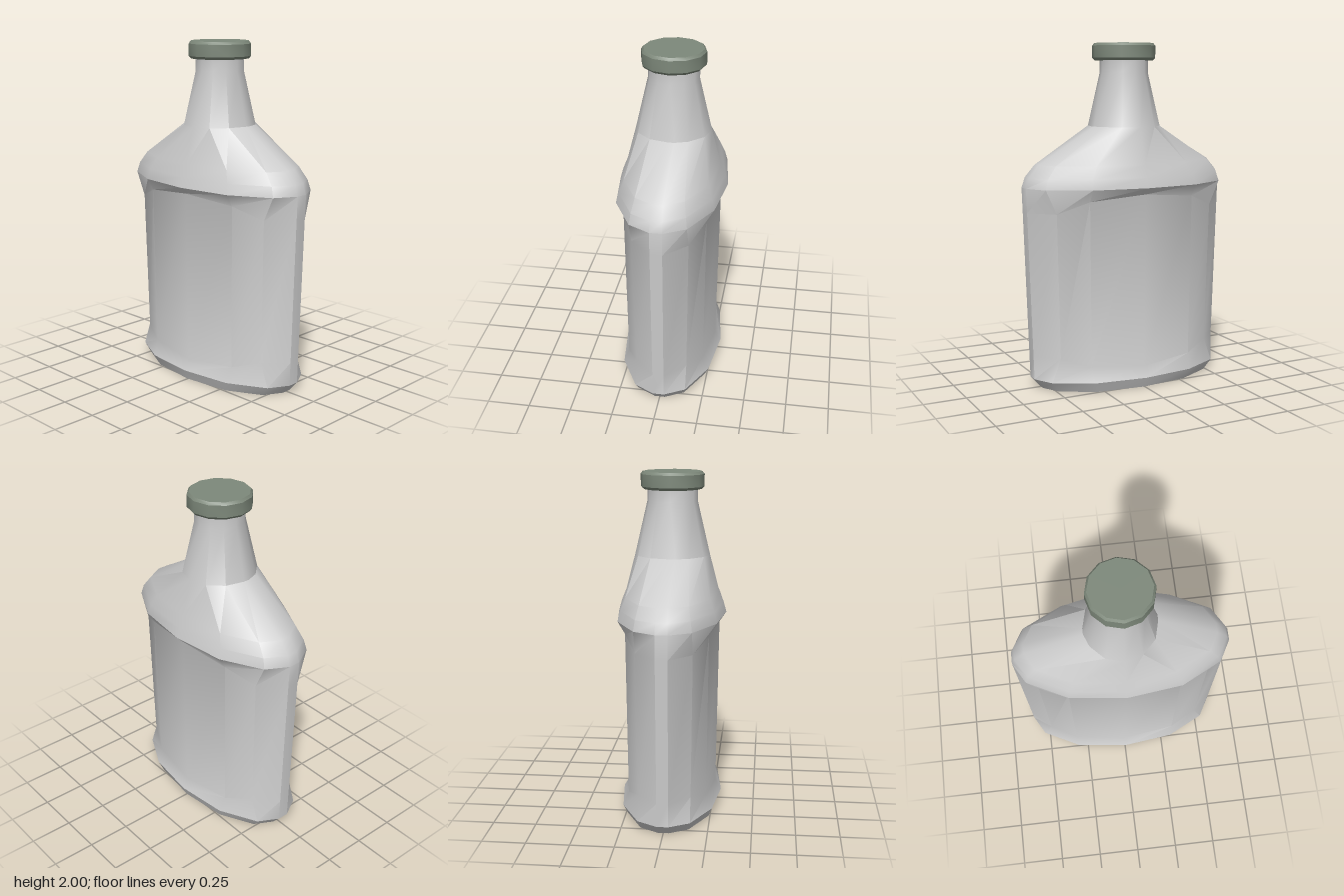
import * as THREE from 'three';
import { toCreasedNormals } from 'three/addons/utils/BufferGeometryUtils.js';

// Seven points make half a ring, from front centre round the +x side;
// the other half is the same turned by 180 degrees about y.
function ring(quarter, sideZ = [quarter[3][2], -quarter[3][2]]) {
  const [q0, q1, q2, q3] = quarter;
  const back = ([x, y, z]) => [x, y, -z];
  const half = [q0, q1, q2, [q3[0], q3[1], sideZ[0]], [q3[0], q3[1], sideZ[1]], back(q2), back(q1)];
  return half.concat(half.map(([x, y, z]) => [-x, y, -z]));
}

// Flattened body section of half width a and half depth b
const flat = (y, a, b) => ring([[0, 1], [0.52, 0.875], [0.89, 0.5], [1, 0.11]].map(([x, z]) => [x * a, y, z * b]));

// Twelve-sided neck section; seam is the width of the shoulder strip where it meets the neck
const round = (y, a, b, seam) => ring(
  [0, 30, 60, 90].map((d) => {
    const t = THREE.MathUtils.degToRad(d);
    return [Math.sin(t) * a, y, Math.cos(t) * b];
  }), [0, -seam]);

// Skin a stack of rings and close both ends
function loft(rings) {
  const n = rings[0].length;
  const points = rings.flat();
  const index = [];
  for (let r = 0; r < rings.length - 1; r++) {
    for (let i = 0; i < n; i++) {
      const a = r * n + i, b = r * n + (i + 1) % n;
      index.push(a, b, b + n, a, b + n, a + n);
    }
  }
  const last = (rings.length - 1) * n;
  for (let i = 1; i < n - 1; i++) {
    index.push(0, i + 1, i);
    index.push(last, last + i, last + i + 1);
  }
  const geometry = new THREE.BufferGeometry();
  geometry.setAttribute('position', new THREE.Float32BufferAttribute(points.flat(), 3));
  geometry.setIndex(index);
  return toCreasedNormals(geometry, THREE.MathUtils.degToRad(35));
}

export function createModel() {
  const group = new THREE.Group();

  // Bottle: bevelled foot, recessed panels, shoulder and tapered neck
  const bottle = new THREE.Mesh(
    loft([
      flat(0, 0.545, 0.275),
      flat(0.06, 0.597, 0.3),
      // recess edges curve towards the middle at the corners
      ring([[0, 0.12, 0.265], [0.32, 0.15, 0.228], [0.48, 0.2, 0.15], [0.602, 0.2, 0.033]]),
      ring([[0, 1.14, 0.28], [0.33, 1.11, 0.238], [0.5, 1.04, 0.16], [0.63, 1.04, 0.035]]),
      flat(1.18, 0.635, 0.32),
      flat(1.24, 0.615, 0.303),
      flat(1.31, 0.555, 0.275),
      round(1.52, 0.21, 0.22, 0.035),
      round(1.83, 0.14, 0.147, 0),
      round(1.91, 0.14, 0.147, 0),
    ]),
    new THREE.MeshStandardMaterial({ color: 0xcccccc }),
  );
  bottle.name = 'bottle';
  group.add(bottle);

  // Cap with bevelled rims
  const profile = [[0, 1.9], [0.172, 1.9], [0.185, 1.915], [0.185, 1.985], [0.173, 2], [0, 2]];
  const cap = new THREE.Mesh(
    toCreasedNormals(
      new THREE.LatheGeometry(profile.map(([x, y]) => new THREE.Vector2(x, y)), 12),
      THREE.MathUtils.degToRad(35),
    ),
    new THREE.MeshStandardMaterial({ color: 0x7d887a }),
  );
  cap.name = 'cap';
  group.add(cap);

  return group;
}
